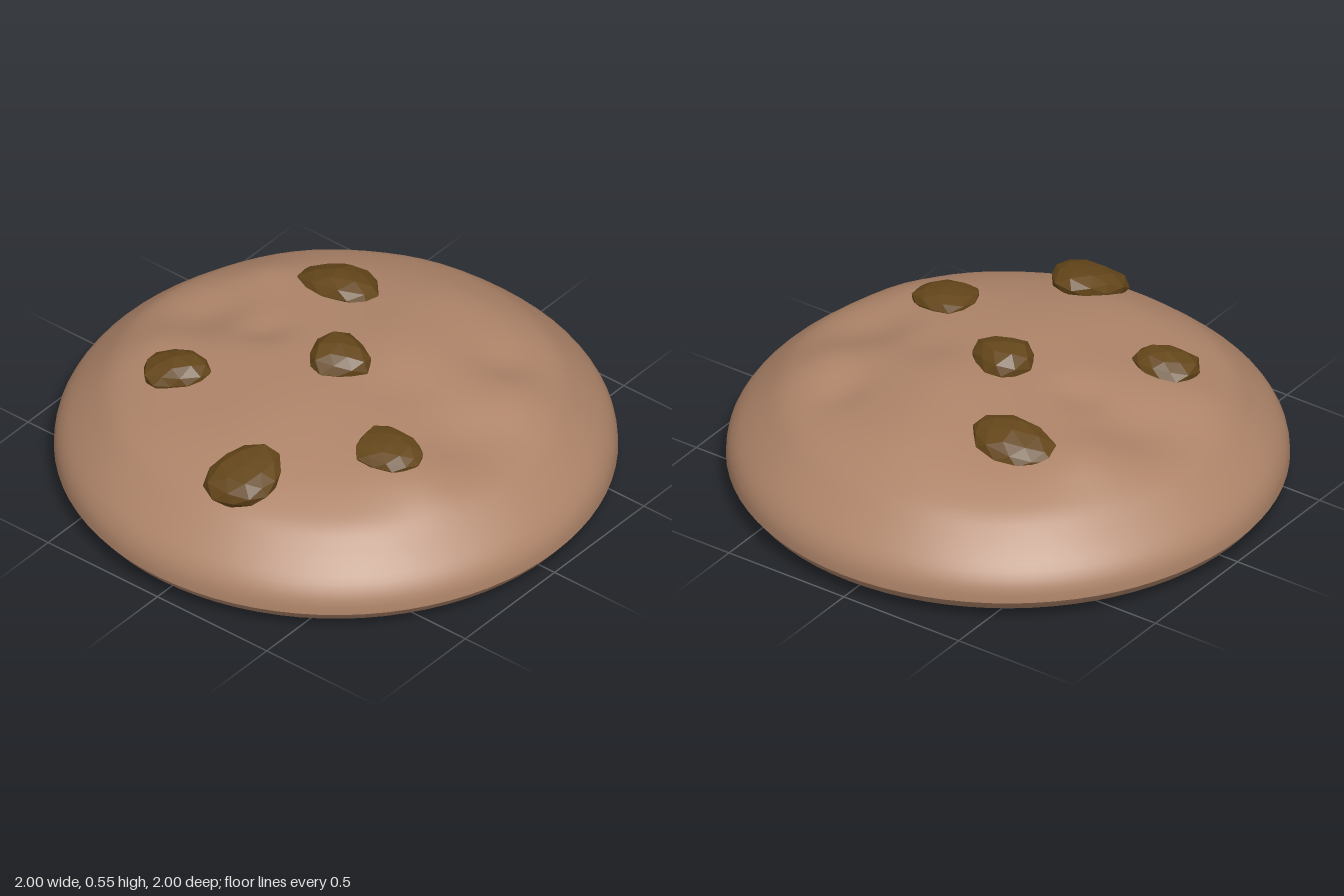
import * as THREE from 'three';
import { mergeVertices } from 'three/addons/utils/BufferGeometryUtils.js';

const dough = new THREE.MeshStandardMaterial({ color: 0xae8469 });
const chocolate = new THREE.MeshStandardMaterial({ color: 0x64461a, flatShading: true });

// Soft bumps and dents on the crust: x, z, radius, height
const BUMPS = [
  [0, 0.6, 0.16, -0.035], [0, -0.58, 0.16, -0.035],
  [0.25, 0.1, 0.2, 0.022], [-0.25, 0.05, 0.2, 0.015],
  [0.28, -0.55, 0.13, 0.018], [-0.28, -0.62, 0.13, 0.012],
  [0.3, 0.6, 0.13, 0.016], [-0.3, 0.65, 0.12, 0.014],
  [0.42, 0.42, 0.1, -0.02], [0, -0.32, 0.09, -0.02],
  [0.05, 0.3, 0.12, -0.012], [0.55, 0.05, 0.2, 0.012],
];

function relief(x, z) {
  const fade = Math.min(1, Math.max(0, (1 - Math.hypot(x, z)) * 5));
  let h = 0.005 * Math.sin(9 * x + 2 * z) * Math.sin(8 * z - 3 * x);
  for (const [bx, bz, r, a] of BUMPS) {
    h += a * Math.exp(-((x - bx) ** 2 + (z - bz) ** 2) / (r * r));
  }
  return h * fade;
}

// Smooth surface of revolution, optionally raised by a height rule
function turned(name, points, steps, rule) {
  const curve = new THREE.SplineCurve(points.map(([x, y]) => new THREE.Vector2(x, y)));
  const profile = curve.getSpacedPoints(steps);
  profile.forEach((p) => { p.x = Math.min(1, Math.max(0, p.x)); });
  let geo = new THREE.LatheGeometry(profile, 80);
  geo.deleteAttribute('uv');
  geo.deleteAttribute('normal');
  geo = mergeVertices(geo, 1e-5);
  const pos = geo.attributes.position;
  if (rule) {
    for (let i = 0; i < pos.count; i++) {
      pos.setY(i, pos.getY(i) + rule(pos.getX(i), pos.getZ(i)));
    }
  }
  geo.computeVertexNormals();
  const mesh = new THREE.Mesh(geo, dough);
  mesh.name = name;
  return mesh;
}

// Faceted lump, slightly irregular and egg shaped
function chip(name, [x, y, z], [rx, ry, rz], [tiltX, turn, tiltZ], seed) {
  const geo = new THREE.IcosahedronGeometry(1, 1);
  const pos = geo.attributes.position;
  const v = new THREE.Vector3();
  for (let i = 0; i < pos.count; i++) {
    v.fromBufferAttribute(pos, i);
    const k = 1 + 0.07 * Math.sin(3 * v.x + seed) + 0.06 * Math.sin(4 * v.z + 2 * v.y + 2 * seed);
    v.multiplyScalar(k);
    v.x *= 1 - 0.15 * v.z;
    pos.setXYZ(i, v.x * rx, v.y * ry, v.z * rz);
  }
  geo.computeVertexNormals();
  const mesh = new THREE.Mesh(geo, chocolate);
  mesh.name = name;
  mesh.position.set(x, y, z);
  mesh.rotation.set(tiltX, turn, tiltZ);
  return mesh;
}

export function createModel() {
  const cookie = new THREE.Group();
  cookie.name = 'cookie';

  // Domed crust and shallow base meet in a crease at the rim
  cookie.add(turned('crust', [
    [1, 0.09], [0.995, 0.14], [0.97, 0.19], [0.93, 0.235], [0.87, 0.29], [0.8, 0.345],
    [0.7, 0.39], [0.6, 0.418], [0.45, 0.442], [0.3, 0.458], [0.15, 0.465], [0, 0.465],
  ], 40, relief));
  cookie.add(turned('base', [
    [0, 0], [0.3, 0.004], [0.6, 0.012], [0.85, 0.026], [0.95, 0.042], [0.985, 0.065], [1, 0.09],
  ], 20));

  // Chocolate chips sunk into the crust
  const chips = [
    [[0, 0.475, 0.02], [0.115, 0.075, 0.12], [0, 0, 0], 1],
    [[-0.36, 0.425, -0.43], [0.11, 0.06, 0.115], [-0.1, 0.4, 0.08], 2.2],
    [[0.385, 0.435, -0.29], [0.115, 0.06, 0.17], [-0.13, 0.05, -0.12], 3.1],
    [[-0.675, 0.41, 0.14], [0.135, 0.065, 0.14], [0.05, -0.3, 0.32], 4.4],
    [[-0.265, 0.435, 0.46], [0.105, 0.045, 0.125], [0.1, 0.1, 0.04], 5.3],
  ];
  chips.forEach(([at, size, tilt, seed], i) => cookie.add(chip(`chocolateChip${i + 1}`, at, size, tilt, seed)));
  return cookie;
}
